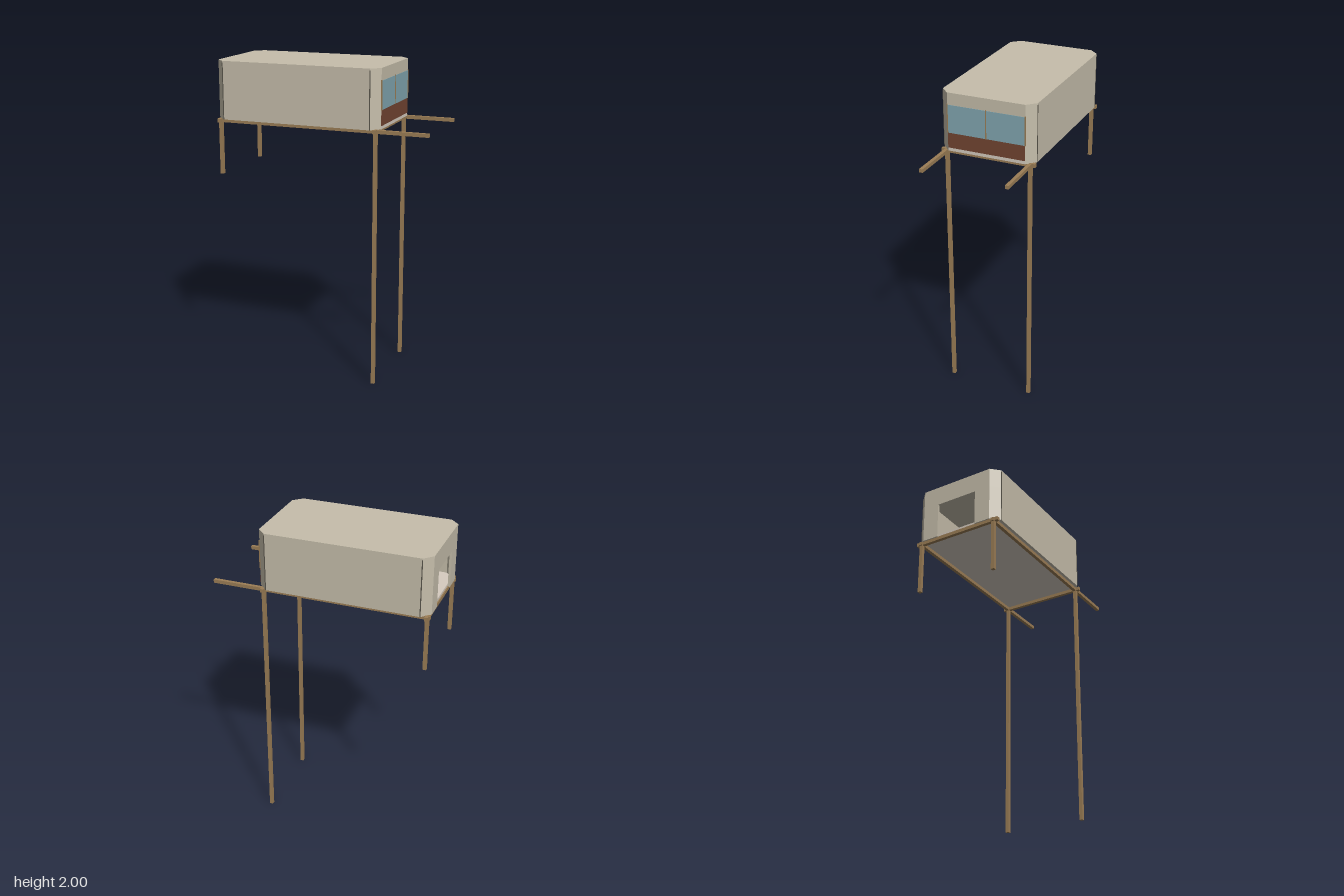
import * as THREE from 'three';

export function createModel() {
  const root = new THREE.Group();
  root.name = 'stiltCabin';
  const mat = (name, color) => {
    const m = new THREE.MeshStandardMaterial({ color });
    m.name = name;
    return m;
  };
  const wall = mat('wall beige', 0xc6beab);
  const floorMat = mat('floor pale', 0xd6ccc0);
  const wood = mat('timber', 0x9c7e56);
  const glass = mat('window blue', 0x82a7b1);
  const brown = mat('panel brown', 0x734532);
  const seam = mat('seam dark', 0x5a564c);

  const add = (name, geometry, material) => {
    const mesh = new THREE.Mesh(geometry, material);
    mesh.name = name;
    root.add(mesh);
    return mesh;
  };
  // Box given by its extents on each axis
  const box = (name, material, [x0, x1], [y0, y1], [z0, z1]) => {
    const g = new THREE.BoxGeometry(x1 - x0, y1 - y0, z1 - z0);
    g.translate((x0 + x1) / 2, (y0 + y1) / 2, (z0 + z1) / 2);
    return add(name, g, material);
  };
  // Plan outline extruded upwards between two heights
  const slab = (name, material, shape, y0, y1) => {
    const g = new THREE.ExtrudeGeometry(shape, { depth: y1 - y0, bevelEnabled: false });
    g.rotateX(-Math.PI / 2).translate(0, y0, 0);
    return add(name, g, material);
  };

  const X0 = -0.69, X1 = 0.385, Z = 0.302, C = 0.054;
  const BASE = 1.635, DOOR_TOP = 1.87, DOOR = 0.14, T = 0.015;

  // Chamfered plan, starting and ending on the doorway wall
  const outline = (d) => {
    const a = X0 + d, b = X1 - d, z = Z - d, c = C - d * 0.4;
    return [
      [a, -z + c], [a + c, -z], [b - c, -z], [b, -z + c],
      [b, z - c], [b - c, z], [a + c, z], [a, z - c],
    ].map(([x, y]) => new THREE.Vector2(x, y));
  };
  const outer = outline(0), inner = outline(T);

  // Shell: walls open at the doorway, full ring above it, roof on top
  const v = (x, y) => new THREE.Vector2(x, y);
  const openRing = new THREE.Shape([
    v(X0, -DOOR), ...outer, v(X0, DOOR),
    v(X0 + T, DOOR), ...[...inner].reverse(), v(X0 + T, -DOOR),
  ]);
  const fullRing = new THREE.Shape(outer);
  fullRing.holes.push(new THREE.Path(inner));
  slab('lowerWalls', wall, openRing, BASE, DOOR_TOP);
  slab('upperWalls', wall, fullRing, DOOR_TOP, 1.985);
  slab('roof', wall, new THREE.Shape(outer), 1.985, 2);
  slab('floor', floorMat, new THREE.Shape(inner), BASE, BASE + 0.02);

  // Window end: sill strip, lower panel, glass and mullions
  const W = Z - C;
  box('sillStrip', floorMat, [X1 - 0.002, X1 + 0.001], [BASE, 1.655], [-W, W]);
  box('lowerPanel', brown, [X1 - 0.002, X1 + 0.002], [1.655, 1.75], [-W, W]);
  box('windowGlass', glass, [X1 - 0.002, X1 + 0.002], [1.75, 1.925], [-W, W]);
  for (const z of [-W, 0, W]) {
    box('mullion', wood, [X1 - 0.002, X1 + 0.005], [1.75, 1.93], [z - 0.003, z + 0.003]);
  }

  // Dark joints beside the corner panels
  for (const s of [-1, 1]) {
    for (const x of [X0 + C, X1 - C]) {
      box('cornerSeam', seam, [x - 0.003, x + 0.003], [BASE, 1.99], [s * Z - 0.001, s * Z + 0.001]);
    }
  }

  // Timber frame and stilts
  const H = 0.011, BX = [-0.671, 0.358], BZ = 0.27, BEAM = 1.613;
  for (const s of [-1, 1]) {
    const zr = [s * BZ - H, s * BZ + H];
    box('longBeam', wood, [X0, 0.69], [BEAM, BASE], zr);
    BX.forEach((x, i) => {
      box(i ? 'tallStilt' : 'shortStilt', wood, [x - H, x + H], [i ? 0 : 1.28, BEAM], zr);
    });
  }
  for (const x of BX) {
    box('crossBeam', wood, [x - H, x + H], [BEAM + 0.001, BASE + 0.002], [-0.303, 0.303]);
  }
  return root;
}
